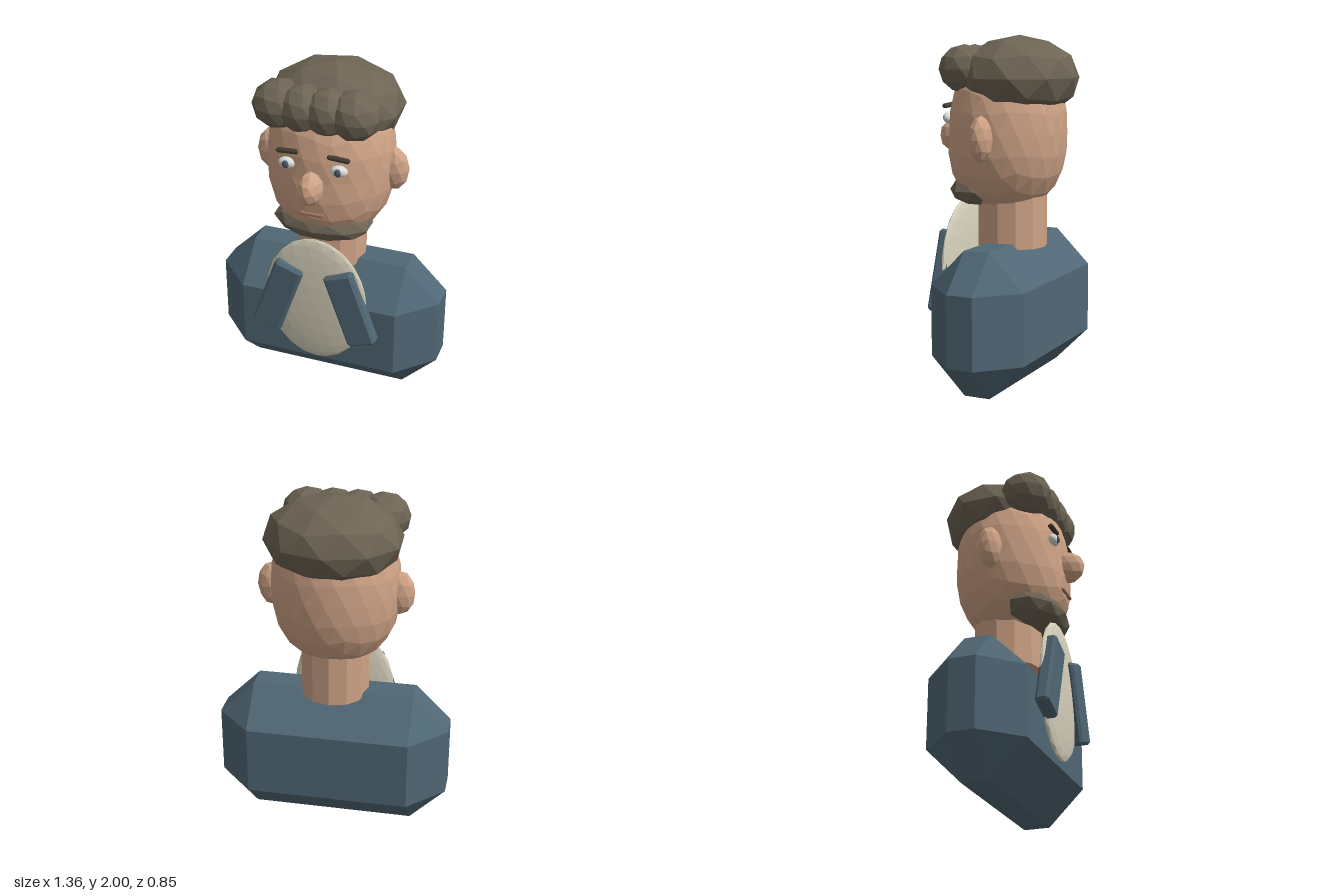
import * as THREE from 'three';
import { ConvexGeometry } from 'three/addons/geometries/ConvexGeometry.js';

const paint = (name, color) => {
  const m = new THREE.MeshStandardMaterial({ color });
  m.name = name;
  return m;
};

// Faceted sphere with a vertex at each pole, scaled to an ellipsoid
function faceted(detail, rx, ry, rz, shape) {
  const g = new THREE.IcosahedronGeometry(1, detail);
  g.rotateX(-Math.atan((1 + Math.sqrt(5)) / 2));
  g.rotateY(Math.PI / 2);
  if (shape) {
    const p = g.attributes.position;
    const v = new THREE.Vector3();
    for (let i = 0; i < p.count; i++) {
      shape(v.fromBufferAttribute(p, i));
      p.setXYZ(i, v.x, v.y, v.z);
    }
  }
  g.scale(rx, ry, rz);
  g.computeVertexNormals();
  return g;
}

// Box with one flat chamfer of width c along every edge
function chamferBox(w, h, d, c) {
  const points = [];
  for (const x of [-w / 2, w / 2]) for (const y of [-h / 2, h / 2]) for (const z of [-d / 2, d / 2]) {
    const ix = x - Math.sign(x) * c, iy = y - Math.sign(y) * c, iz = z - Math.sign(z) * c;
    points.push(new THREE.Vector3(x, iy, iz), new THREE.Vector3(ix, y, iz), new THREE.Vector3(ix, iy, z));
  }
  return new ConvexGeometry(points);
}

// Squarer than a ball from crown to jaw, with the chin pushed forward
function headShape(v) {
  const p = 2.4;
  const h = Math.hypot(v.x, v.z);
  v.multiplyScalar((Math.abs(v.y) ** p + h ** p) ** (-1 / p));
  if (v.z > 0) v.z *= 1 + 0.15 * Math.max(0, -v.y);
}

export function createModel() {
  const group = new THREE.Group();
  group.name = 'bust';

  const skin = paint('skin', 0xcfa386);
  const hair = paint('hair', 0x6d6454);
  const jacket = paint('jacket blue', 0x506775);
  const cream = paint('shirt cream', 0xd6d0bb);
  const white = paint('eye white', 0xdedfdb);
  const blue = paint('iris blue', 0x4a5b69);
  const dark = paint('brow brown', 0x453d34);
  const lip = paint('lip', 0xa4745e);

  const add = (name, geometry, material, x, y, z, rotZ = 0) => {
    const mesh = new THREE.Mesh(geometry, material);
    mesh.name = name;
    mesh.position.set(x, y, z);
    mesh.rotation.z = rotZ;
    group.add(mesh);
    return mesh;
  };

  // Torso and clothes
  add('torso', chamferBox(1.36, 0.824, 0.57, 0.208), jacket, 0, 0.412, -0.05);
  add('shirtFront', faceted(3, 0.31, 0.41, 0.042), cream, 0, 0.64, 0.255);

  // Neck and head
  const neck = new THREE.CylinderGeometry(0.2, 0.2, 0.32, 12).toNonIndexed();
  neck.computeVertexNormals();
  add('neck', neck, skin, 0, 0.95, -0.047);
  add('head', faceted(3, 0.37, 0.45, 0.335, headShape), skin, 0, 1.45, -0.02);
  add('nose', faceted(1, 0.072, 0.1, 0.107), skin, 0, 1.415, 0.318);
  add('mouth', chamferBox(0.145, 0.02, 0.02, 0.006), lip, 0, 1.245, 0.31);
  add('beard', faceted(1, 0.295, 0.105, 0.18), hair, 0, 1.12, 0.125);

  // Paired parts
  for (const [side, s] of [['left', 1], ['right', -1]]) {
    add(side + 'Lapel', chamferBox(0.18, 0.477, 0.08, 0.016), jacket, s * 0.222, 0.64, 0.279, s * 0.34);
    add(side + 'Ear', faceted(1, 0.09, 0.132, 0.07), skin, s * 0.362, 1.43, -0.025);
    add(side + 'Eye', faceted(2, 0.05, 0.034, 0.03), white, s * 0.15, 1.53, 0.287);
    add(side + 'Iris', faceted(1, 0.021, 0.024, 0.014), blue, s * 0.15, 1.53, 0.31);
    add(side + 'Eyebrow', chamferBox(0.128, 0.026, 0.03, 0.008), dark, s * 0.147, 1.602, 0.287, s * -0.06);
  }

  // Hair cap and the row of curls over the forehead
  add('hairCap', faceted(1, 0.395, 0.24, 0.337), hair, 0, 1.76, -0.09);
  const curls = [[-0.24, 0.15, 0.155], [-0.095, 0.17, 0.142], [0.05, 0.17, 0.142], [0.195, 0.16, 0.15]];
  curls.forEach(([x, z, r], i) => {
    add('curl' + (i + 1), faceted(1, r, 0.138, r), hair, x, 1.81, z);
  });

  return group;
}
